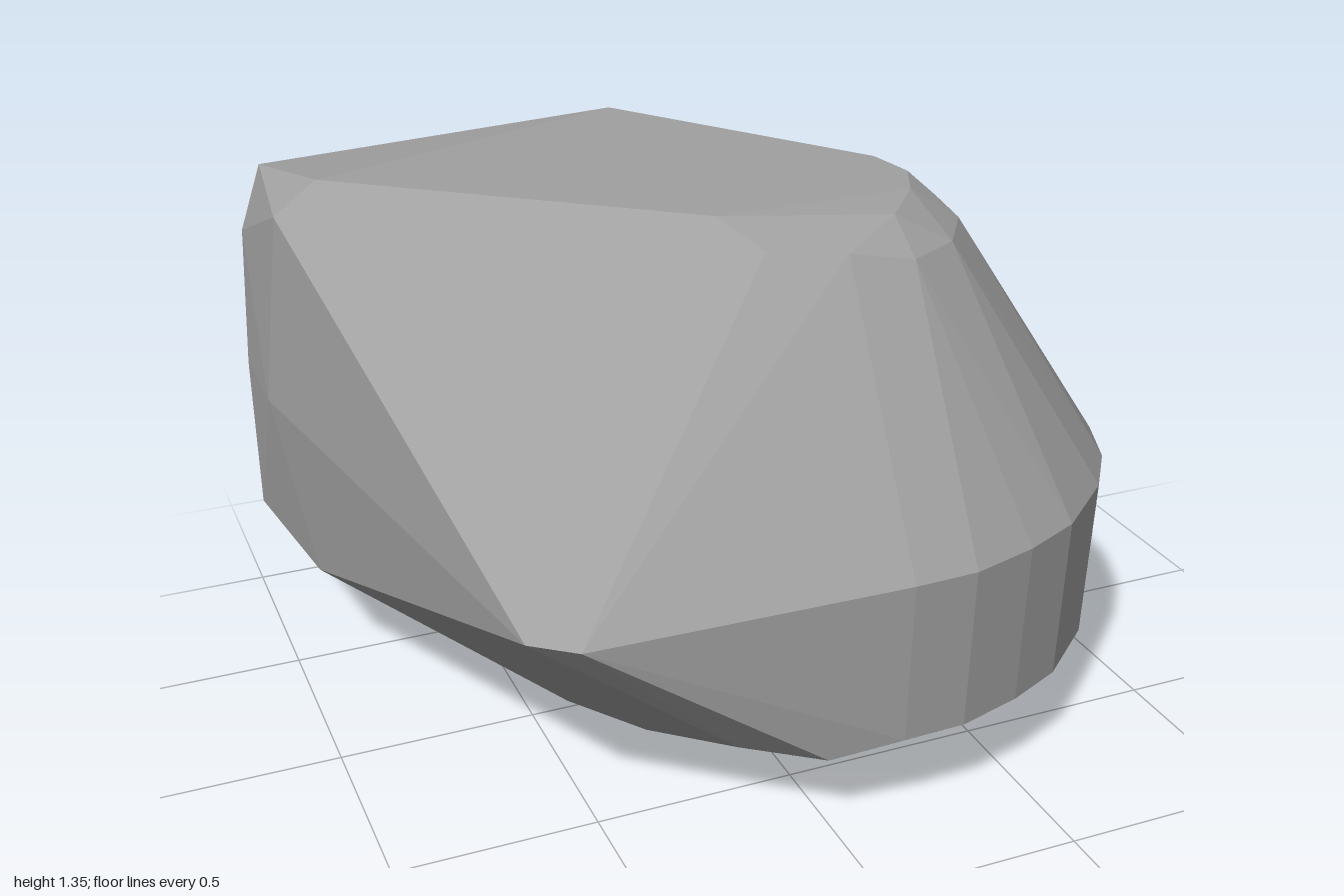
import * as THREE from 'three';
import { ConvexGeometry } from 'three/addons/geometries/ConvexGeometry.js';

// A faceted boulder: the convex skin over a few rings of corner points.
export function createModel() {
  const group = new THREE.Group();
  group.name = 'boulder';
  const stone = new THREE.MeshStandardMaterial({ color: 0xa0a0a0 });
  stone.name = 'grey stone';

  const points = [];
  const add = (...list) => list.forEach(p => points.push(new THREE.Vector3(...p)));
  const ring = (y, list) => list.forEach(([x, z]) => points.push(new THREE.Vector3(x, y, z)));

  // flat crown and the bevel around it
  ring(1.345, [[-0.06, 0.17], [0.45, 0.16], [0.51, 0.03], [0.49, -0.11]]);
  add([0.34, 1.335, 0.29], [0.04, 1.337, -0.82], [-0.84, 1.332, -0.5]);
  add([0, 1.3, 0.32], [0.18, 1.29, 0.38]);
  ring(1.26, [[0.34, 0.4], [0.48, 0.32], [0.58, 0.17], [0.61, 0], [0.57, -0.18]]);

  // rounded belt: a widest ring and a slightly tucked lower ring
  const belt = [[0.15, 0.815], [0.31, 0.81], [0.48, 0.76], [0.63, 0.69],
    [0.8, 0.54], [0.9, 0.4], [0.965, 0.24], [1, 0.03], [0.97, -0.74]];
  ring(0.66, belt);
  ring(0.25, belt.map(([x, z]) => [x * 0.982, z > 0 ? z * 0.985 : z]));

  // pointed corner at the front
  add([-0.6, 0.61, 0.72], [-0.7, 0.61, 0.64]);

  // side wall
  add([-0.95, 1.25, -0.5], [-1, 0.75, -0.55], [-0.93, 0.295, -0.44]);

  // rim of the flat back
  [[-0.92, 1.29], [-0.98, 1.12], [-1, 0.75], [-1, 0.335], [-0.62, 0.245], [0.22, 0.14],
    [0.61, 0.145], [0.8, 0.185], [0.95, 0.465], [0.83, 0.78]]
    .forEach(([x, y]) => add([x, y, -0.82]));

  // sloping underside and small flat base
  ring(0.22, [[-0.5, 0.3], [-0.37, 0.49], [-0.2, 0.64], [-0.03, 0.77]]);
  ring(0.12, [[0.15, 0.44], [0.6, 0.07]]);
  ring(0, [[0.13, -0.63], [-0.32, -0.45], [0.15, -0.42], [-0.05, -0.26]]);

  const rock = new THREE.Mesh(new ConvexGeometry(points), stone);
  rock.name = 'rock';
  group.add(rock);
  return group;
}
